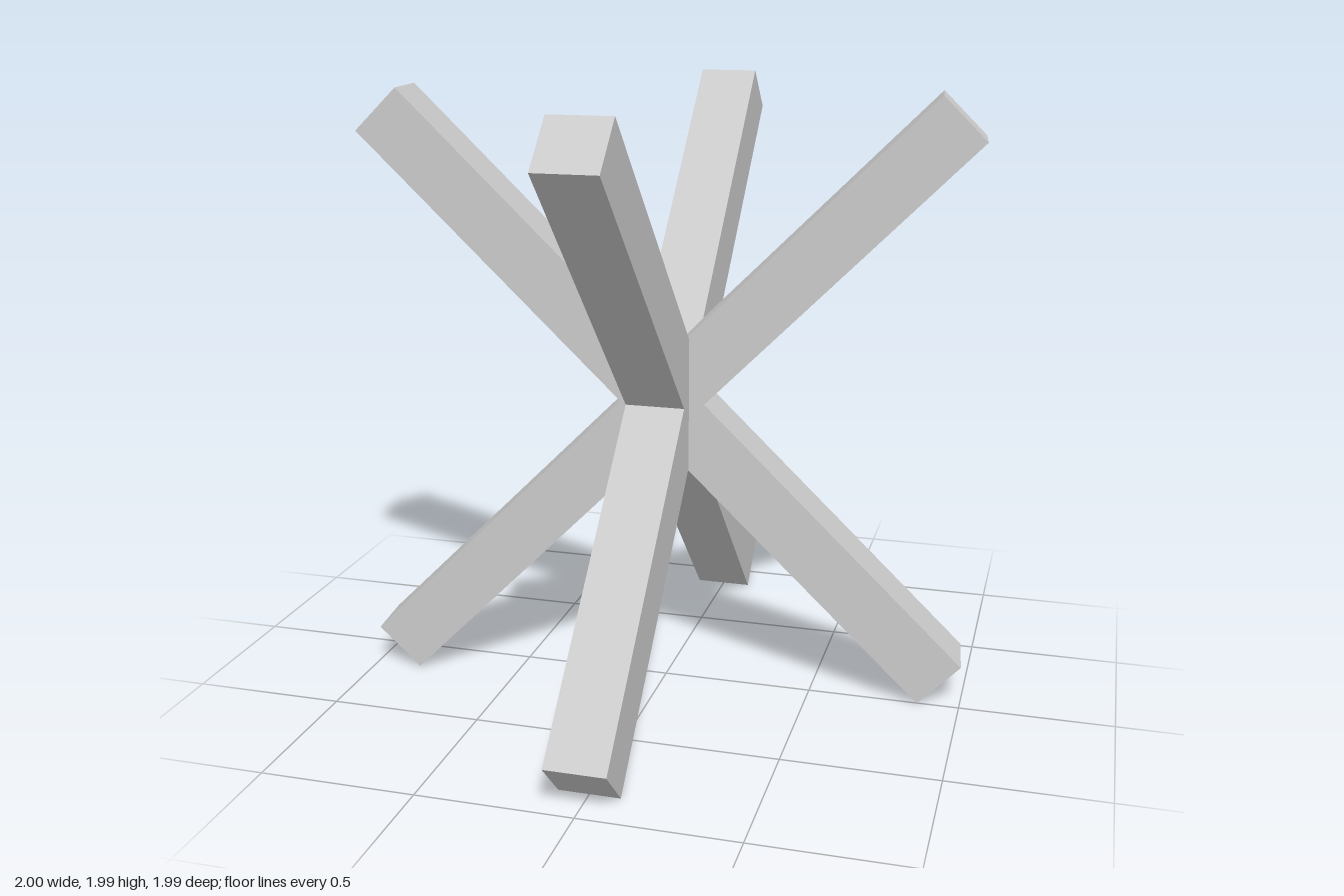
import * as THREE from 'three';

const WIDTH = 0.195, LENGTH = 2.62, CENTRE_Y = 0.995;

export function createModel() {
  const model = new THREE.Group();
  model.name = 'crossedBeams';
  const material = new THREE.MeshStandardMaterial({ color: 0xcccccc, flatShading: true });
  const beamGeometry = new THREE.BoxGeometry(LENGTH, WIDTH, WIDTH);

  // An X of two square beams, turned about the vertical axis
  function addCross(name, turn, z) {
    const cross = new THREE.Group();
    cross.name = name;
    for (const side of [-1, 1]) {
      const beam = new THREE.Mesh(beamGeometry, material);
      beam.name = side > 0 ? 'risingBeam' : 'fallingBeam';
      beam.rotation.z = side * Math.PI / 4;
      cross.add(beam);
    }
    cross.rotation.y = turn;
    cross.position.set(0, CENTRE_Y, z);
    model.add(cross);
  }

  addCross('frontToBackCross', Math.PI / 2, 0);
  // The sideways cross sits slightly askew
  addCross('sidewaysCross', 0.099, -0.01);

  return model;
}
